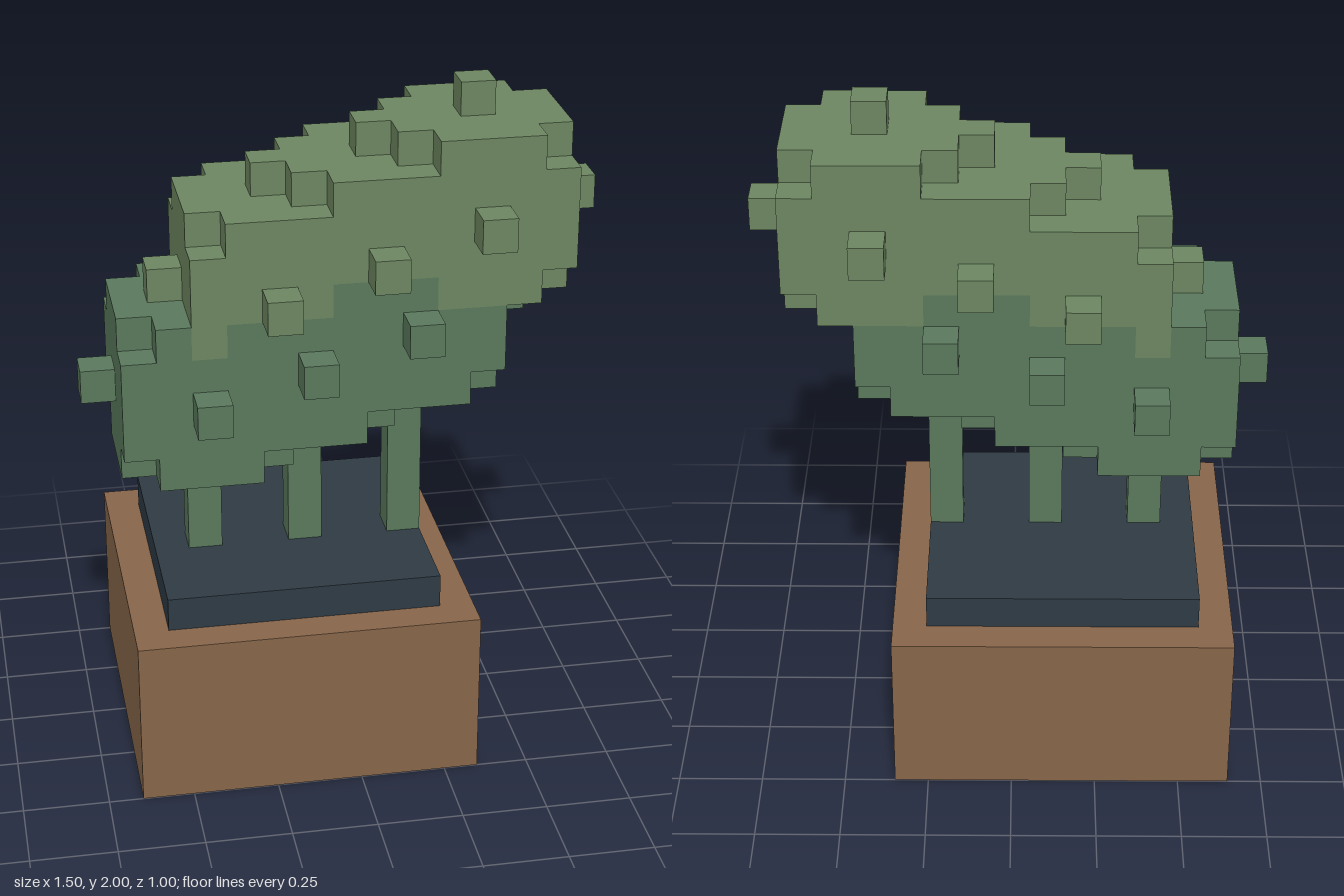
import * as THREE from 'three';
import { mergeGeometries } from 'three/addons/utils/BufferGeometryUtils.js';

const V = 0.1; // voxel size
const Z = 0.05; // depth of the tree row

const material = (color) => new THREE.MeshStandardMaterial({ color, flatShading: true });
const lightLeaf = material(0x6c8661);
const darkLeaf = material(0x5a795d);
const clay = material(0x876549);
const soil = material(0x2e3a44);

function box(name, mat, w, h, d, x, bottom, z) {
  const mesh = new THREE.Mesh(new THREE.BoxGeometry(w, h, d), mat);
  mesh.name = name;
  mesh.position.set(x, bottom + h / 2, z);
  return mesh;
}

// One voxel side for each of the six directions
const sides = [
  [1, 0, 0], [-1, 0, 0], [0, 1, 0], [0, -1, 0], [0, 0, 1], [0, 0, -1],
].map((dir) => {
  const normal = new THREE.Vector3(...dir);
  const turn = new THREE.Quaternion().setFromUnitVectors(new THREE.Vector3(0, 0, 1), normal);
  const geometry = new THREE.PlaneGeometry(V, V).applyQuaternion(turn);
  geometry.translate(...dir.map((c) => (c * V) / 2));
  return { dir, geometry };
});

// Fill a voxel ball of radius 3; later balls take over shared voxels
function fillBall(voxels, owner, cx, cy) {
  for (let x = -3; x <= 3; x++)
    for (let y = -3; y <= 3; y++)
      for (let z = -3; z <= 3; z++)
        if (x * x + y * y + z * z <= 9) {
          const cell = [cx + x, cy + y, z];
          voxels.set(cell.join(), { cell, owner });
        }
}

// Outer faces of the voxels owned by one ball
function ballGeometry(voxels, owner) {
  const faces = [];
  for (const voxel of voxels.values()) {
    if (voxel.owner !== owner) continue;
    for (const { dir, geometry } of sides) {
      const next = voxel.cell.map((c, i) => c + dir[i]);
      if (voxels.has(next.join())) continue;
      const [x, y, z] = voxel.cell;
      faces.push(geometry.clone().translate(x * V, (y + 0.5) * V, z * V + Z));
    }
  }
  return mergeGeometries(faces);
}

export function createModel() {
  const model = new THREE.Group();
  model.name = 'pottedTree';

  // Pot and soil
  model.add(box('pot', clay, 1, 0.5, 1, -0.15, 0, 0));
  model.add(box('soil', soil, 0.8, 0.1, 0.8, -0.15, 0.5, 0));

  // Three trunks, each with a dark lower ball and a light upper ball
  const voxels = new Map();
  const balls = [];
  for (let i = 0; i < 3; i++) {
    const x = -4 + 3 * i;
    const y = 11 + i;
    model.add(box(`trunk${i + 1}`, darkLeaf, V, (y - 2) * V - 0.6, V, x * V, 0.6, Z));
    balls.push({ name: `lowerFoliage${i + 1}`, mat: darkLeaf, x, y });
    balls.push({ name: `upperFoliage${i + 1}`, mat: lightLeaf, x: x + 2, y: y + 3 });
  }
  balls.forEach((ball) => fillBall(voxels, ball, ball.x, ball.y));
  for (const ball of balls) {
    const mesh = new THREE.Mesh(ballGeometry(voxels, ball), ball.mat);
    mesh.name = ball.name;
    model.add(mesh);
  }
  return model;
}
